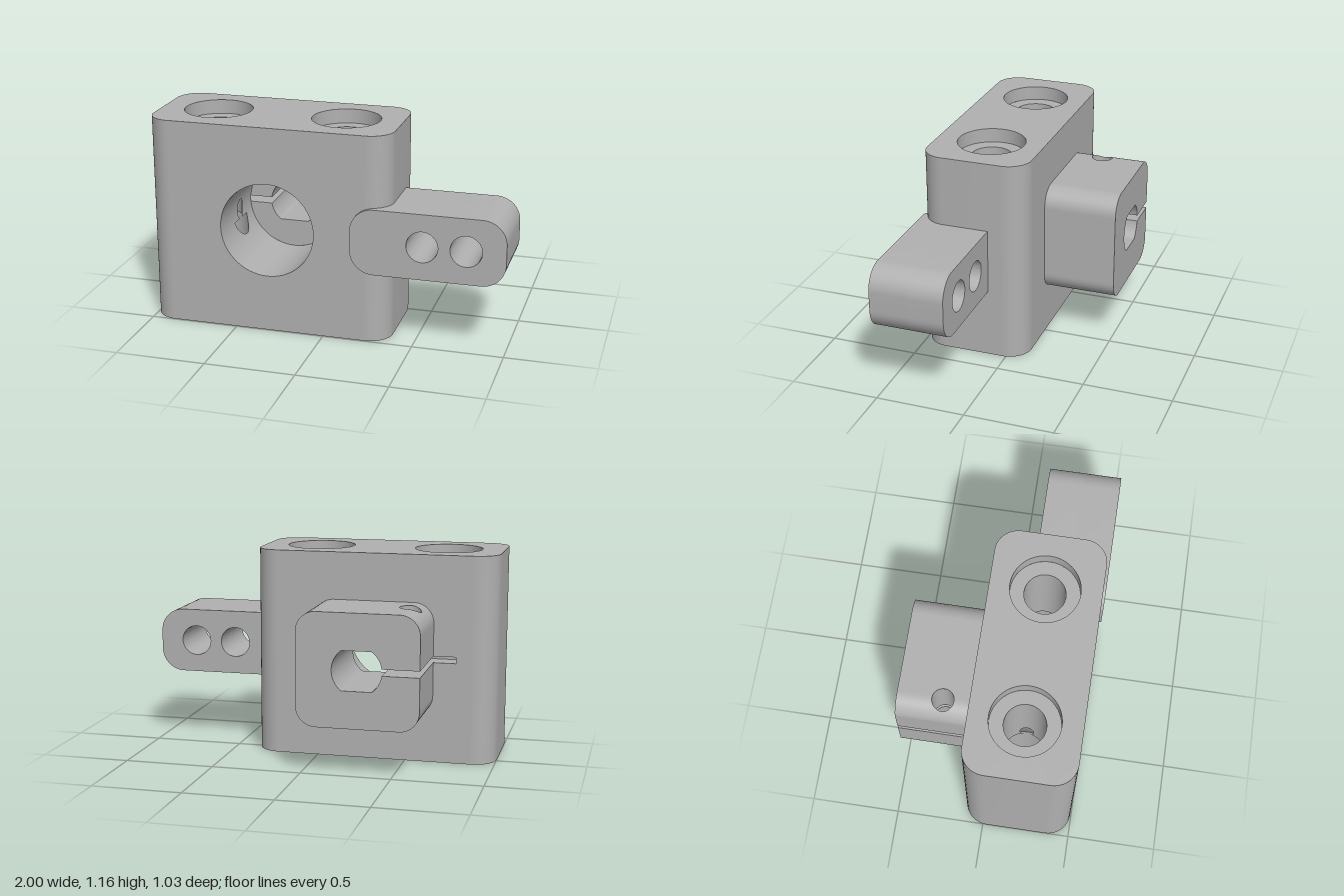
import * as THREE from 'three';
import { toCreasedNormals } from 'three/addons/utils/BufferGeometryUtils.js';

// Main dimensions
const CX = -0.315, CY = 0.583;            // bore axis
const BORE = 0.264, SLOT = 0.018;         // bore radius, half slot height
const FRONT = 0.495, BACK = -0.11, FLOOR = 0, H = 1.16;
const BOLTS = [-0.685, 0.05], BZ = 0.19;  // bolt hole positions
const R_TOP = 0.19, R_MID = 0.113, R_LOW = 0.148, Y_LOW = 0.53, Y_TOP = 1.08;
const CL = { x0: -0.655, x1: 0.02, y0: 0.267, y1: 0.895, z: -0.52, r: 0.11 };
const SCREW = { x: -0.555, z: -0.27, r: 0.06 };

const grey = new THREE.MeshStandardMaterial({ color: 0xb0b0b0, side: THREE.DoubleSide });
grey.name = 'grey metal';

function arc(cx, cy, r, a0, a1, n = 16) {
  return Array.from({ length: n + 1 }, (_, i) => {
    const a = a0 + (a1 - a0) * i / n;
    return [cx + r * Math.cos(a), cy + r * Math.sin(a)];
  });
}

// Counter-clockwise rounded rectangle, starting on its left side
function roundRect(x0, y0, x1, y1, r) {
  const q = Math.PI / 2;
  return [
    ...arc(x0 + r, y0 + r, r, 2 * q, 3 * q), ...arc(x1 - r, y0 + r, r, 3 * q, 4 * q),
    ...arc(x1 - r, y1 - r, r, 0, q), ...arc(x0 + r, y1 - r, r, q, 2 * q),
  ];
}

const toVec = (pts) => pts.map(([x, y]) => new THREE.Vector2(x, y));
function shape(pts, holes = []) {
  const s = new THREE.Shape(toVec(pts));
  s.holes = holes.map((h) => new THREE.Path(toVec(h)));
  return s;
}

function quads(list) {
  const pos = [];
  for (const [a, b, c, d] of list) pos.push(...a, ...b, ...c, ...a, ...c, ...d);
  const g = new THREE.BufferGeometry();
  g.setAttribute('position', new THREE.Float32BufferAttribute(pos, 3));
  return toCreasedNormals(g, 0.5);
}

// Wall swept along z from an xy path, cut by vertical round holes
function wall(path, z0, z1, holes = []) {
  const list = [];
  for (let i = 0; i + 1 < path.length; i++) {
    const [ax, ay] = path[i], [bx, by] = path[i + 1];
    const len = Math.hypot(bx - ax, by - ay);
    if (len < 1e-6) continue;
    const n = holes.length ? Math.ceil(len / 0.003) : 1;
    for (let k = 0; k < n; k++) {
      const at = (t) => [ax + (bx - ax) * t, ay + (by - ay) * t];
      const p = at(k / n), q = at((k + 1) / n), my = (p[1] + q[1]) / 2;
      const strip = (pa, pb, qa, qb) => list.push([[...p, pa], [...q, qa], [...q, qb], [...p, pb]]);
      const hole = holes.find((h) => my > h.y0 && my < h.y1
        && Math.min(Math.abs(p[0] - h.x), Math.abs(q[0] - h.x)) < h.r);
      if (!hole) { strip(z0, z1, z0, z1); continue; }
      const half = (x) => Math.sqrt(Math.max(0, hole.r ** 2 - (x - hole.x) ** 2));
      const hp = half(p[0]), hq = half(q[0]);
      strip(z0, hole.z - hp, z0, hole.z - hq);
      strip(hole.z + hp, z1, hole.z + hq, z1);
    }
  }
  return quads(list);
}

// Inside of a vertical round hole; spans(x) gives the heights where its wall exists
function tube(cx, cz, r, spans, n = 96) {
  const list = [], ring = arc(cx, cz, r, 0, Math.PI * 2, n);
  for (let i = 0; i < n; i++) {
    const [ax, az] = ring[i], [bx, bz] = ring[i + 1], sa = spans(ax), sb = spans(bx);
    sa.forEach(([lo, hi], k) => {
      const [lo2, hi2] = sb[k];
      if (hi - lo < 1e-6 && hi2 - lo2 < 1e-6) return;
      list.push([[ax, lo, az], [bx, lo2, bz], [bx, hi2, bz], [ax, hi, az]]);
    });
  }
  return quads(list);
}

// Flat face at height z, optionally facing -z
function face(s, z, back = false) {
  const g = new THREE.ShapeGeometry(s).translate(0, 0, z);
  if (back) { g.index.array.reverse(); g.computeVertexNormals(); }
  return g;
}

const circle = (x, y, r) => arc(x, y, r, Math.PI * 2, 0, 64);
const upright = (g) => g.rotateX(-Math.PI / 2);   // plan drawing (x, -z) to the ground

// Double-flat shaft hole, open to the slot on its left, drawn clockwise
const open = Math.asin(SLOT / 0.137);
const shaftPath = arc(CX, CY, 0.137, Math.PI - open, open - Math.PI, 80)
  .map(([x, y]) => [x, THREE.MathUtils.clamp(y, CY - 0.109, CY + 0.109)]);

function addBlock(add) {
  const x0 = -1, x1 = 0.364, r = 0.13, q = Math.PI / 2;
  const slotEnd = -0.78;
  const panel = [[x0 + r, 0], [x1 - r, 0], [x1 - r, H], [x0 + r, H]];
  const keyhole = [[slotEnd, CY + SLOT], ...shaftPath, [slotEnd, CY - SLOT]];
  add('blockFront', face(shape(panel, [circle(CX, CY, BORE)]), FRONT));
  add('blockBack', face(shape(panel, [keyhole]), BACK, true));
  add('shaftHoleWall', wall([...keyhole, keyhole[0]], BACK, FLOOR));

  // Rounded ends
  const right = [...arc(x1 - r, -FRONT + r, r, -q, 0), ...arc(x1 - r, -BACK - r, r, 0, q)];
  const left = [...arc(x0 + r, -BACK - r, r, q, 2 * q), ...arc(x0 + r, -FRONT + r, r, 2 * q, 3 * q)];
  add('blockRightEnd', upright(wall(right, 0, H)));
  add('blockLeftEnd', upright(wall(left, 0, H)));

  // Top and bottom
  const plan = roundRect(x0, -FRONT, x1, -BACK, r);
  const cap = (rad) => shape(plan, BOLTS.map((x) => circle(x, -BZ, rad)));
  add('blockTop', upright(face(cap(R_TOP), H)));
  add('blockBottom', upright(face(cap(R_LOW), 0, true)));

  // Front bore, opened where the bolt holes cross it
  const cuts = BOLTS.flatMap((x) => [
    { x, z: BZ, r: R_LOW, y0: 0, y1: Y_LOW }, { x, z: BZ, r: R_MID, y0: Y_LOW, y1: Y_TOP },
  ]);
  add('boreWall', wall(arc(CX, CY, BORE, 2 * Math.PI, 0, 96), FLOOR, FRONT, cuts));
  const a = Math.asin(SLOT / BORE);
  add('boreFloor', face(shape([...arc(CX, CY, BORE, Math.PI + a, 3 * Math.PI - a, 96), ...shaftPath]), FLOOR));
  add('slotFloor', face(shape([[slotEnd, CY - SLOT], [CX - BORE, CY - SLOT],
    [CX - BORE, CY + SLOT], [slotEnd, CY + SLOT]]), FLOOR, true));

  // Stepped bolt holes
  const half = (x) => Math.sqrt(Math.max(0, BORE ** 2 - (x - CX) ** 2));
  const edge = Math.sqrt(BORE ** 2 - (CY - Y_LOW) ** 2);
  for (const x of BOLTS) {
    add('counterboreWall', tube(x, BZ, R_TOP, () => [[Y_TOP, H]]));
    add('boltHoleWall', tube(x, BZ, R_MID, (px) => [[Y_LOW, Math.max(Y_LOW, CY - half(px))], [CY + half(px), Y_TOP]]));
    add('lowerHoleWall', tube(x, BZ, R_LOW, (px) => [[0, Math.min(Y_LOW, CY - half(px))]]));
    add('counterboreLedge', upright(new THREE.RingGeometry(R_MID, R_TOP, 64)).translate(x, Y_TOP, BZ));
    const ledge = new THREE.RingGeometry(R_MID, R_LOW, 96).rotateX(Math.PI / 2).translate(x, Y_LOW, BZ);
    const p = ledge.attributes.position;
    for (let i = 0; i < p.count; i++) {
      p.setX(i, x < CX ? Math.min(p.getX(i), CX - edge) : Math.max(p.getX(i), CX + edge));
    }
    add('lowerLedge', ledge);
  }
}

function addClamp(add) {
  const { x0, x1, y0, y1, z, r } = CL;
  const outline = [[x0, CY - SLOT], ...roundRect(x0, y0, x1, y1, r), [x0, CY + SLOT], ...shaftPath];
  add('clampBack', face(shape(outline), z, true));
  add('clampWall', wall([...outline, outline[0]], z, BACK, [{ ...SCREW, y0: 0, y1: H }]));
  // Vertical screw hole, ending on the rounded corner and at the slot
  const drop = (x) => r - Math.sqrt(r * r - Math.max(0, x0 + r - x) ** 2);
  add('clampScrewHole', tube(SCREW.x, SCREW.z, SCREW.r,
    (x) => [[y0 + drop(x), CY - SLOT], [CY + SLOT, y1 - drop(x)]], 48));
}

function addArm(add) {
  // The rear part starts further right so it stays clear of the bolt hole
  for (const [name, x0, z0, z1] of [['armFront', 0.155, 0.3, 0.515], ['armRear', 0.22, 0.1, 0.3]]) {
    const s = shape(roundRect(x0, 0.398, 1, 0.765, 0.13),
      [0.55, 0.787].map((x) => circle(x, CY, 0.086)));
    const g = new THREE.ExtrudeGeometry(s, { depth: z1 - z0, bevelEnabled: false, curveSegments: 1 });
    add(name, toCreasedNormals(g.translate(0, 0, z0), 0.5));
  }
}

export function createModel() {
  const model = new THREE.Group();
  model.name = 'clampBracket';
  for (const [name, build] of [['block', addBlock], ['clamp', addClamp], ['arm', addArm]]) {
    const part = new THREE.Group();
    part.name = name;
    build((label, geometry) => {
      const mesh = new THREE.Mesh(geometry, grey);
      mesh.name = label;
      part.add(mesh);
    });
    model.add(part);
  }
  return model;
}
